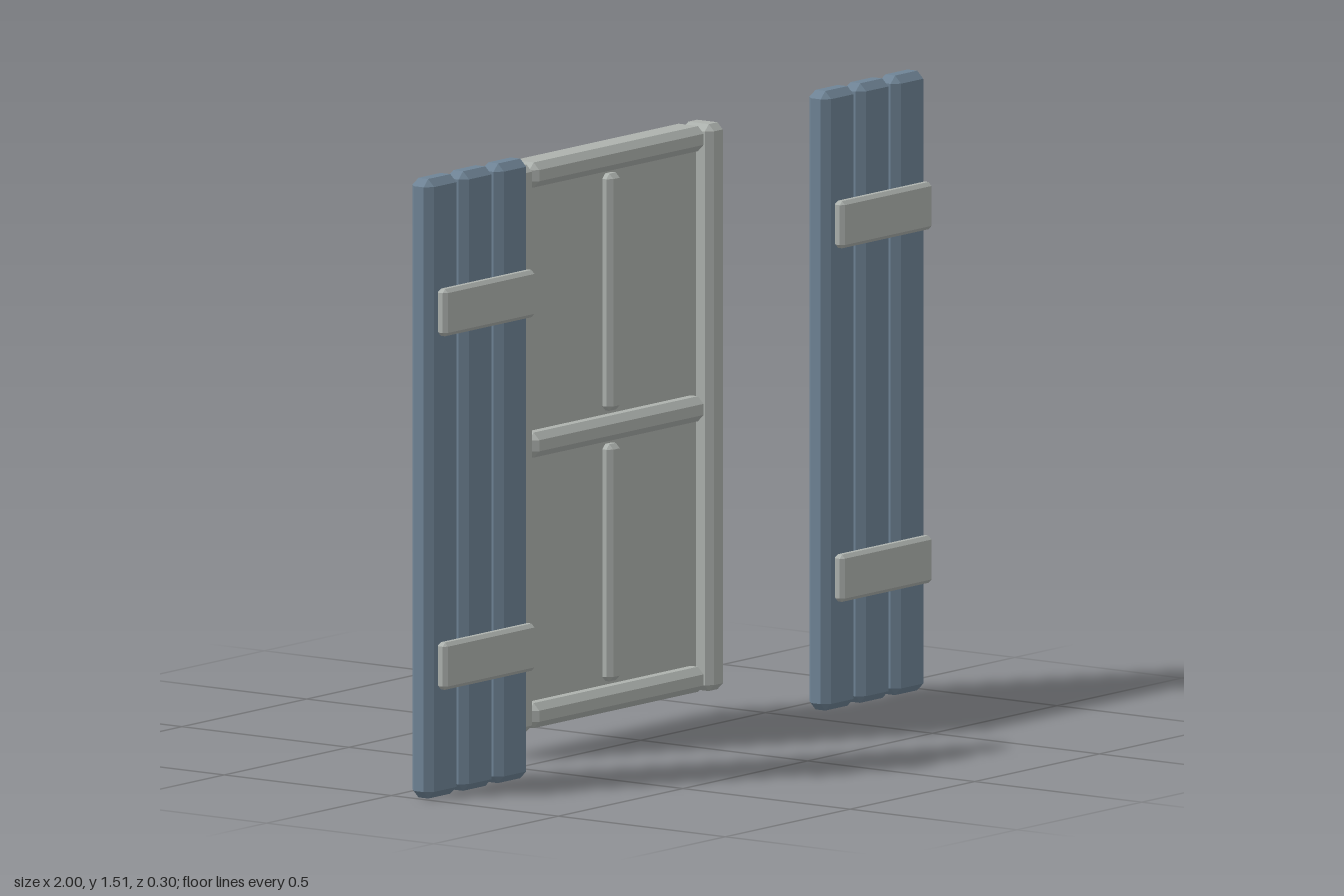
import * as THREE from 'three';
import { ConvexGeometry } from 'three/addons/geometries/ConvexGeometry.js';

const blue = new THREE.MeshStandardMaterial({ color: 0x6f8496 });
blue.name = 'slate blue paint';
const grey = new THREE.MeshStandardMaterial({ color: 0xadb2ae });
grey.name = 'pale grey paint';

// Bar with chamfered edges, given by its extents on each axis
function bar(name, material, [x0, x1], [y0, y1], [z0, z1], c) {
  const half = new THREE.Vector3(x1 - x0, y1 - y0, z1 - z0).multiplyScalar(0.5);
  const points = [];
  for (const sx of [-1, 1]) for (const sy of [-1, 1]) for (const sz of [-1, 1]) {
    const s = new THREE.Vector3(sx, sy, sz);
    for (const axis of ['x', 'y', 'z']) {
      const p = half.clone().subScalar(c);
      p[axis] += c;
      points.push(p.multiply(s));
    }
  }
  const mesh = new THREE.Mesh(new ConvexGeometry(points), material);
  mesh.name = name;
  mesh.position.set((x0 + x1) / 2, (y0 + y1) / 2, (z0 + z1) / 2);
  return mesh;
}

// Three upright boards joined by two battens on the front
function shutter(name, x) {
  const group = new THREE.Group();
  group.name = name;
  for (let i = 0; i < 3; i++) {
    const left = x + i * 0.14;
    group.add(bar('shutterBoard', blue, [left, left + 0.125], [0.003, 1.51], [0.05, 0.115], 0.018));
  }
  for (const y of [0.27, 1.13]) {
    group.add(bar('batten', grey, [x + 0.02, x + 0.385], [y, y + 0.115], [0.118, 0.148], 0.009));
  }
  return group;
}

function windowFrame() {
  const group = new THREE.Group();
  group.name = 'window';
  // Posts
  for (const x of [-0.418, 0.348]) {
    group.add(bar('sidePost', grey, [x, x + 0.067], [0.067, 1.446], [-0.145, -0.052], 0.016));
  }
  // Rails
  for (const y of [0.07, 0.728, 1.385]) {
    group.add(bar('rail', grey, [-0.35, 0.343], [y, y + 0.061], [-0.147, -0.055], 0.017));
  }
  // Glazing bars
  for (const y of [0.14, 0.798]) {
    group.add(bar('glazingBar', grey, [-0.028, 0.022], [y, y + 0.577], [-0.13, -0.07], 0.012));
  }
  // Pane
  const pane = new THREE.Mesh(new THREE.BoxGeometry(0.74, 1.32, 0.012), grey);
  pane.name = 'pane';
  pane.position.set(-0.003, 0.757, -0.1);
  group.add(pane);
  return group;
}

export function createModel() {
  const model = new THREE.Group();
  model.name = 'shutteredWindow';
  model.add(windowFrame(), shutter('rightShutter', -1), shutter('leftShutter', 0.592));
  return model;
}
